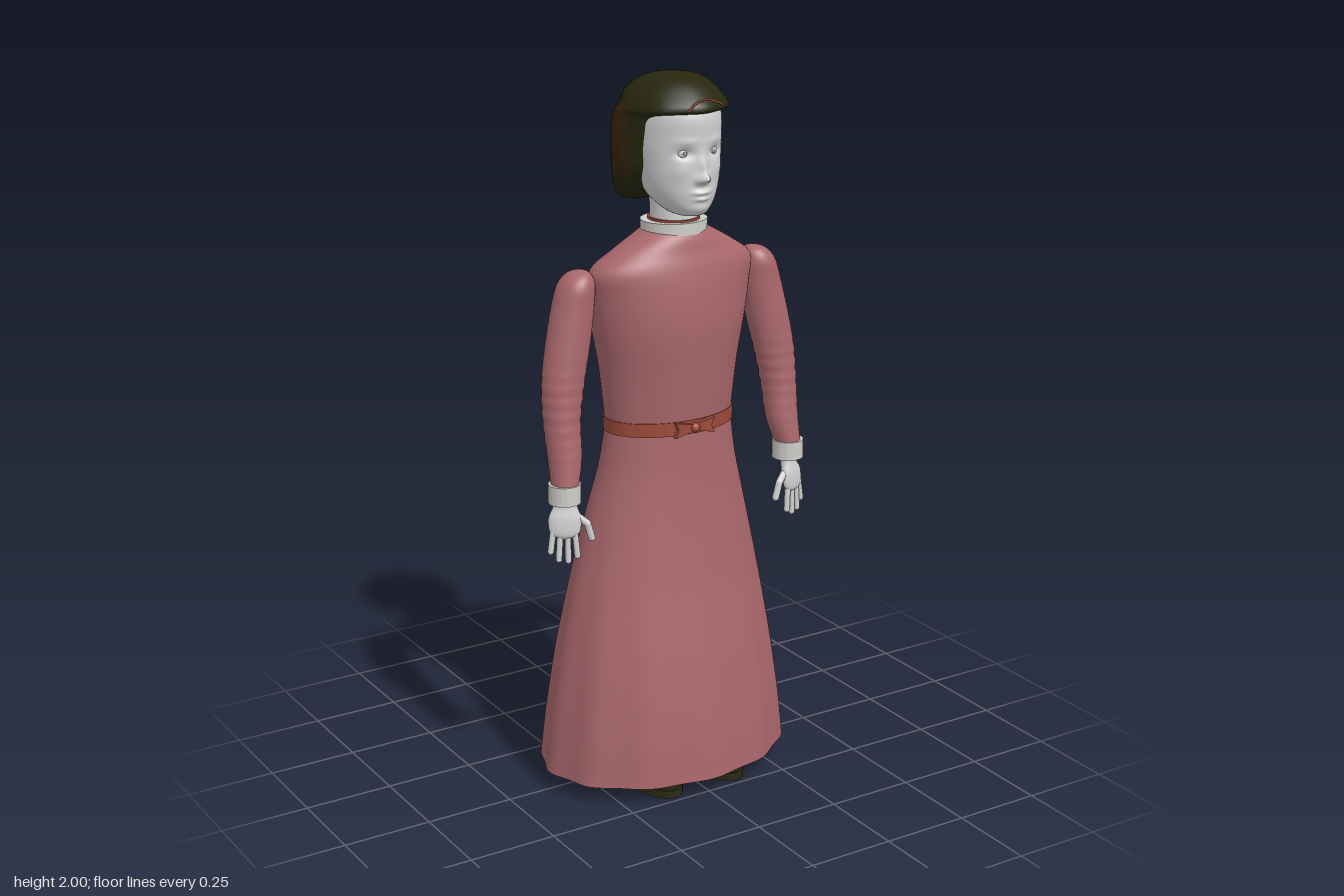
import * as THREE from 'three';
import { toCreasedNormals } from 'three/addons/utils/BufferGeometryUtils.js';

const mat = (name, color, side = THREE.FrontSide) => {
  const m = new THREE.MeshStandardMaterial({ color, side });
  m.name = name;
  return m;
};

// Surface through horizontal oval sections [y, centreX, centreZ, radiusX, radiusZ], bottom to top.
// steps = rings per section (0 = straight lines and crisp edges); warp(point, angle) adjusts points.
function loft(rows, seg = 40, steps = 5, warp = null) {
  let rings = rows;
  if (steps) {
    const centre = new THREE.CatmullRomCurve3(rows.map(r => new THREE.Vector3(r[0], r[1], r[2])), false, 'catmullrom');
    const radius = new THREE.CatmullRomCurve3(rows.map(r => new THREE.Vector3(r[3], r[4], 0)), false, 'catmullrom');
    const n = (rows.length - 1) * steps;
    rings = [];
    for (let i = 0; i <= n; i++) {
      const c = centre.getPoint(i / n), r = radius.getPoint(i / n);
      rings.push([c.x, c.y, c.z, r.x, r.y]);
    }
  }
  const pos = [], index = [], p = new THREE.Vector3();
  rings.forEach(([y, cx, cz, rx, rz], i) => {
    for (let j = 0; j < seg; j++) {
      const a = j / seg * Math.PI * 2;
      p.set(cx + rx * Math.sin(a), y, cz + rz * Math.cos(a));
      if (warp) warp(p, a, cx, cz);
      pos.push(p.x, p.y, p.z);
      if (i === rings.length - 1) continue;
      const k = (j + 1) % seg, b = i * seg, t = b + seg;
      index.push(b + j, b + k, t + k, b + j, t + k, t + j);
    }
  });
  const g = new THREE.BufferGeometry();
  g.setAttribute('position', new THREE.Float32BufferAttribute(pos, 3));
  g.setIndex(index);
  g.computeVertexNormals();
  return steps ? g : toCreasedNormals(g, 0.6);
}

// Closed band between two heights
const band = (y0, y1, cx, cz, rx, rz, k = 0.7) => loft([
  [y0, cx, cz, rx * k, rz * k], [y0, cx, cz, rx, rz], [y1, cx, cz, rx, rz], [y1, cx, cz, rx * k, rz * k]], 40, 0);

// Moves the faces that pass the test into a second material group
function splitFaces(g, test) {
  const idx = g.index.array, p = g.attributes.position, a = [], b = [];
  for (let i = 0; i < idx.length; i += 3) {
    const f = [idx[i], idx[i + 1], idx[i + 2]];
    const mid = k => f.reduce((s, v) => s + p['get' + k](v), 0) / 3;
    (test(mid('X'), mid('Y'), mid('Z')) ? b : a).push(...f);
  }
  g.setIndex([...a, ...b]);
  g.addGroup(0, a.length, 0);
  g.addGroup(a.length, b.length, 1);
  return g;
}

export function createModel() {
  const model = new THREE.Group();
  const dress = mat('dress rose', 0xa9676c, THREE.DoubleSide);
  const skin = mat('pale skin', 0xd2d2d2);
  const trim = mat('white trim', 0xcfcdc9, THREE.DoubleSide);
  const sash = mat('belt rust', 0x9c4a3a);
  const hairDark = mat('dark hair', 0x27270f);
  const hairBrown = mat('brown hair', 0x35240f);
  const leather = mat('boot leather', 0x2b2a14, THREE.DoubleSide);
  const shade = mat('eye grey', 0x8c8c8a);
  const add = (name, geo, m, parent = model) => {
    const mesh = new THREE.Mesh(geo, m);
    mesh.name = name;
    parent.add(mesh);
    return mesh;
  };

  // Skirt, open at the hem, with folds that grow downward
  add('skirt', loft([
    [0.05, 0, 0, 0.368, 0.272], [0.2, 0, 0.002, 0.352, 0.257], [0.4, 0, 0.004, 0.323, 0.227],
    [0.6, 0, 0.008, 0.285, 0.188], [0.8, 0, 0.016, 0.238, 0.155], [0.93, 0, 0.025, 0.205, 0.135],
    [1.05, 0, 0.03, 0.187, 0.124]], 96, 5, (p, a) => {
    const k = 1 + 0.016 * Math.cos(a * 12) * Math.max(0, 1 - p.y / 0.9);
    p.x *= k; p.z *= k;
  }), dress);

  // Bodice
  add('bodice', loft([
    [1.04, 0, 0.03, 0.187, 0.124], [1.2, 0, 0.03, 0.204, 0.14], [1.32, 0, 0.03, 0.226, 0.15],
    [1.42, 0, 0.034, 0.241, 0.141], [1.485, 0, 0.045, 0.243, 0.12], [1.53, 0, 0.053, 0.185, 0.1],
    [1.565, 0, 0.057, 0.125, 0.088], [1.59, 0, 0.057, 0.08, 0.075]], 64), dress);
  add('belt', band(1.032, 1.07, 0, 0.03, 0.193, 0.13, 0.9), sash);
  add('collar', band(1.575, 1.608, 0, 0.057, 0.092, 0.084, 0.72), trim);
  add('collarPiping', band(1.608, 1.614, 0, 0.057, 0.07, 0.072, 0.8), sash);

  // Bow on the belt
  const bow = new THREE.Group();
  bow.name = 'bow';
  model.add(bow);
  for (const s of [-1, 1]) {
    const wing = new THREE.Shape([[0, -0.008], [0.062, -0.022], [0.052, 0], [0.062, 0.022], [0, 0.008]]
      .map(([x, y]) => new THREE.Vector2(x * s, y)));
    add('bowWing', new THREE.ExtrudeGeometry(wing, { depth: 0.012, bevelEnabled: false }), sash, bow)
      .position.set(0, 1.051, 0.158);
  }
  add('bowKnot', new THREE.SphereGeometry(0.014, 16, 10), sash, bow).position.set(0, 1.051, 0.167);

  for (const s of [-1, 1]) {
    const side = s > 0 ? 'left' : 'right';

    // Sleeve with soft creases over the forearm
    add(side + 'Sleeve', loft([
      [0.925, 0.36, 0.088, 0.036, 0.04], [1.0, 0.35, 0.072, 0.046, 0.046], [1.1, 0.348, 0.055, 0.051, 0.05],
      [1.2, 0.337, 0.045, 0.059, 0.053], [1.3, 0.317, 0.037, 0.062, 0.055], [1.4, 0.297, 0.031, 0.058, 0.056],
      [1.455, 0.286, 0.03, 0.05, 0.054], [1.485, 0.278, 0.03, 0.031, 0.036], [1.497, 0.272, 0.03, 0.003, 0.003]
    ].map(([y, x, ...r]) => [y, x * s, ...r]), 32, 9, (p, a, cx, cz) => {
      const k = 1 + 0.028 * Math.sin(p.y * 170) * Math.exp(-(((p.y - 1.13) / 0.1) ** 2));
      p.x = cx + (p.x - cx) * k;
      p.z = cz + (p.z - cz) * k;
    }), dress);
    add(side + 'Cuff', band(0.882, 0.935, 0.361 * s, 0.088, 0.044, 0.044), trim);

    // Hand: palm, four fingers and a bent thumb
    const hand = new THREE.Group();
    hand.name = side + 'Hand';
    model.add(hand);
    add('palm', loft([
      [0.785, 0.37, 0.105, 0.012, 0.006], [0.8, 0.37, 0.103, 0.036, 0.016], [0.84, 0.367, 0.098, 0.04, 0.022],
      [0.87, 0.362, 0.092, 0.029, 0.024], [0.9, 0.361, 0.088, 0.026, 0.025]
    ].map(([y, x, ...r]) => [y, x * s, ...r]), 24, 4, (p, a, cx) => { p.z -= (p.x - cx) * s * 0.4; }), skin, hand);
    const digits = [
      [0.398, 0.812, 0.09, 0.407, 0.75, 0.09], [0.382, 0.81, 0.1, 0.388, 0.727, 0.1],
      [0.364, 0.81, 0.107, 0.364, 0.722, 0.109], [0.346, 0.81, 0.114, 0.341, 0.735, 0.118],
      [0.342, 0.85, 0.108, 0.311, 0.822, 0.122], [0.311, 0.822, 0.122, 0.299, 0.78, 0.123]];
    digits.forEach(([x0, y0, z0, x1, y1, z1], i) => {
      const a = new THREE.Vector3(x0 * s, y0, z0), b = new THREE.Vector3(x1 * s, y1, z1);
      const d = add(i < 4 ? 'finger' : 'thumb', new THREE.CapsuleGeometry(i < 4 ? 0.0085 : 0.01, a.distanceTo(b), 4, 10), skin, hand);
      d.position.copy(a).lerp(b, 0.5);
      d.quaternion.setFromUnitVectors(new THREE.Vector3(0, 1, 0), b.sub(a).normalize());
    });

    // Boot: foot and ankle shaft, with a separate sole
    add(side + 'Boot', loft([
      [0.015, 0.1, 0.085, 0.066, 0.143], [0.05, 0.1, 0.083, 0.066, 0.14], [0.09, 0.1, 0.06, 0.058, 0.113],
      [0.13, 0.1, 0.016, 0.05, 0.07], [0.19, 0.1, -0.004, 0.046, 0.053], [0.34, 0.1, -0.004, 0.052, 0.058],
      [0.345, 0.1, -0.004, 0.002, 0.002]].map(([y, x, ...r]) => [y, x * s, ...r])), leather);
    add(side + 'Sole', band(0, 0.022, 0.102 * s, 0.085, 0.071, 0.15, 0.001), leather);
  }

  // Head and neck
  add('neck', loft([[1.57, 0, 0.057, 0.066, 0.068], [1.62, 0, 0.057, 0.063, 0.066], [1.72, 0, 0.05, 0.063, 0.07]]), skin);
  const bumps = [ // x, y, width, height, depth
    [0, 1.738, 0.015, 0.013, 0.027], [0, 1.765, 0.011, 0.028, 0.012], [0, 1.7, 0.025, 0.007, 0.012],
    [0, 1.683, 0.02, 0.006, 0.01], [0, 1.655, 0.025, 0.012, 0.004], [0.015, 1.733, 0.007, 0.008, 0.008],
    [0.045, 1.803, 0.022, 0.013, -0.014], [0.045, 1.835, 0.03, 0.008, 0.004], [0.06, 1.755, 0.025, 0.02, 0.004]];
  add('head', loft([
    [1.628, 0, 0.125, 0.003, 0.003], [1.635, 0, 0.125, 0.038, 0.05], [1.652, 0, 0.11, 0.062, 0.08],
    [1.68, 0, 0.092, 0.085, 0.104], [1.72, 0, 0.078, 0.102, 0.12], [1.77, 0, 0.066, 0.111, 0.133],
    [1.83, 0, 0.056, 0.117, 0.144], [1.9, 0, 0.052, 0.115, 0.148], [1.95, 0, 0.05, 0.09, 0.115],
    [1.982, 0, 0.05, 0.003, 0.003]], 120, 10, (p, a) => {
    if (Math.cos(a) < 0.3) return;
    for (const [x, y, w, h, d] of bumps)
      for (const m of x ? [-x, x] : [0])
        p.z += d * Math.exp(-(((p.x - m) / w) ** 2) - (((p.y - y) / h) ** 2));
  }), skin);
  for (const s of [-1, 1]) {
    add('eye', new THREE.SphereGeometry(0.015, 20, 14), skin).position.set(0.044 * s, 1.803, 0.168);
    const iris = add('iris', new THREE.SphereGeometry(0.006, 14, 10), shade);
    iris.position.set(0.044 * s, 1.803, 0.182);
    iris.scale.z = 0.35;
  }

  // Bobbed hair with a fringe; back and sides are browner
  add('hair', splitFaces(loft([
    [1.64, 0, -0.078, 0.003, 0.003], [1.648, 0, -0.07, 0.075, 0.034], [1.67, 0, -0.048, 0.113, 0.06],
    [1.7, 0, -0.02, 0.13, 0.094], [1.75, 0, 0, 0.145, 0.115], [1.8, 0, 0.006, 0.149, 0.122],
    [1.85, 0, 0.011, 0.149, 0.126], [1.893, 0, 0.022, 0.144, 0.13], [1.913, 0, 0.054, 0.139, 0.158],
    [1.95, 0, 0.05, 0.118, 0.138], [1.985, 0, 0.055, 0.073, 0.083], [2, 0, 0.06, 0.003, 0.003]], 64, 5, (p, a) => {
    const k = 1 + 0.014 * Math.sin(a * 7 + p.y * 14) * Math.min(1, (2 - p.y) * 10);
    p.x *= k;
    p.z = 0.03 + (p.z - 0.03) * k;
  }), (x, y, z) => z < 0.05 && y > 1.73 && !(x < -0.02 && y > 1.92 && z > -0.05)), [hairDark, hairBrown]);

  // Thin hair clip above the fringe
  const clip = new THREE.CatmullRomCurve3([[-0.05, 1.915, 0.206], [-0.028, 1.936, 0.208], [0, 1.944, 0.211],
    [0.03, 1.938, 0.208], [0.06, 1.925, 0.2]].map(v => new THREE.Vector3(...v)));
  add('hairClip', new THREE.TubeGeometry(clip, 24, 0.003, 6), sash);

  return model;
}
